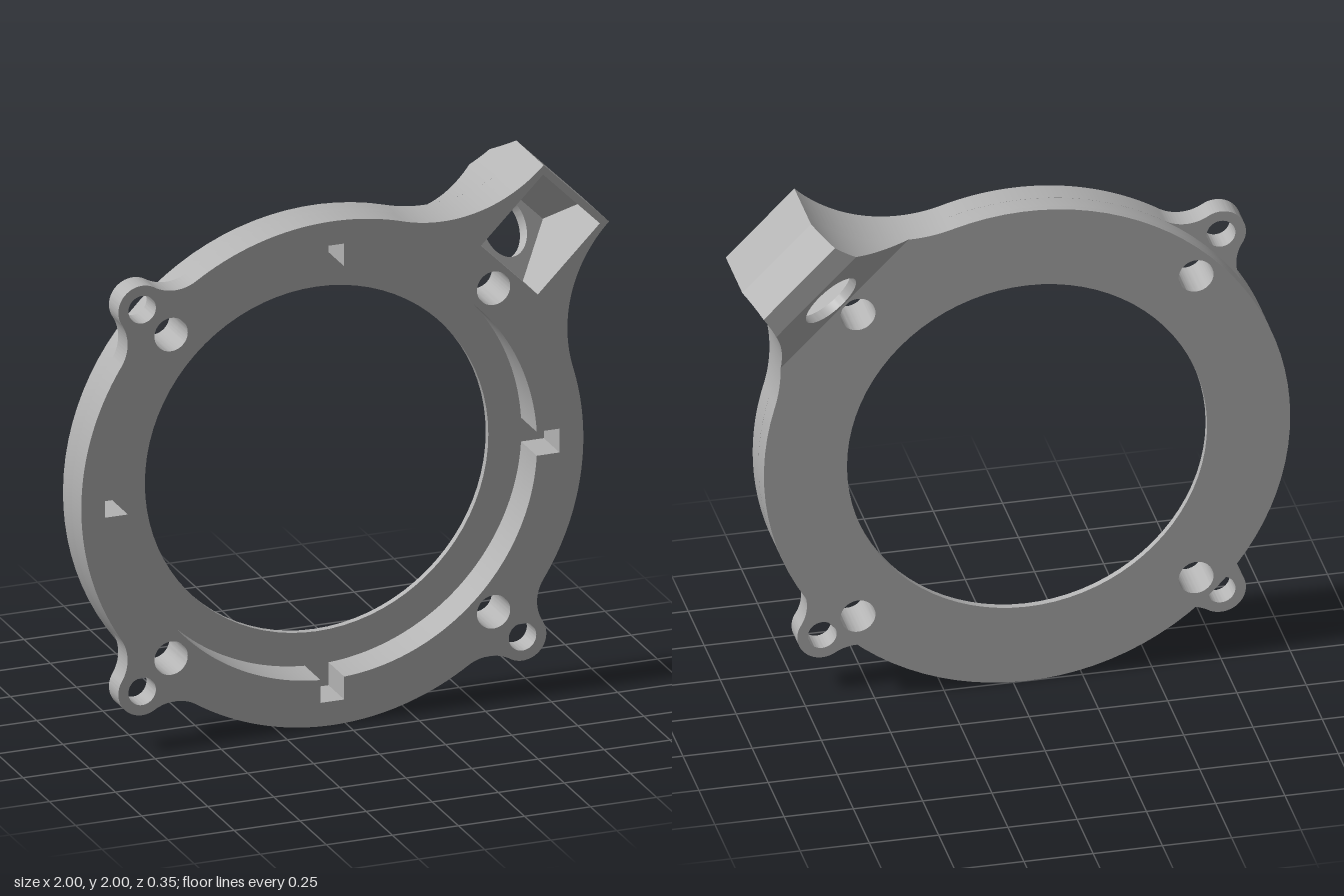
import * as THREE from 'three';
import { toCreasedNormals } from 'three/addons/utils/BufferGeometryUtils.js';

// Everything is built in a frame centred on the ring, with +x along the arm; the group is then turned 45 degrees.
const R = 0.95, BORE = 0.65, RECESS = 0.775, Q = Math.PI / 2;
const ARM_END = 1.306, ARM_HALF = 0.175, POCKET_HALF = 0.152, POCKET_IN = 0.9475, POCKET_OUT = 1.28;
const EAR_DIST = 1.018, EAR_R = 0.09, EAR_FILLET = 0.15;
const SLOPE_U = 0.932, BACK_U = 1.134, CHAMFER_U = 1.22, BACK_Z = -0.175, CHAMFER_Z = -0.085;

// Fillet circle tangent to both the ring and the arm's end corner
const ARM_FILLET = (ARM_END ** 2 + ARM_HALF ** 2 - R * R) / (2 * (R - ARM_HALF));
const ARM_ANGLE = Math.atan2(ARM_HALF + ARM_FILLET, ARM_END);
// Fillet circle tangent to both the ring and an ear
const C = R + EAR_FILLET;
const EAR_ANGLE = Math.acos((C * C + EAR_DIST ** 2 - (EAR_R + EAR_FILLET) ** 2) / (2 * C * EAR_DIST));
const EAR_TURN = Math.atan2(C * Math.sin(EAR_ANGLE), EAR_DIST - C * Math.cos(EAR_ANGLE));

function polar(r, a) {
  return [r * Math.cos(a), r * Math.sin(a)];
}

// Outer edge of the body: ring, arm and, if wanted, three ears
function outline(withEars) {
  const s = new THREE.Shape();
  const armC = R + ARM_FILLET;
  s.absarc(...polar(armC, -ARM_ANGLE), ARM_FILLET, Math.PI - ARM_ANGLE, Q, true);
  s.lineTo(ARM_END, ARM_HALF);
  s.absarc(...polar(armC, ARM_ANGLE), ARM_FILLET, -Q, ARM_ANGLE - Math.PI, true);
  let from = ARM_ANGLE;
  if (withEars) {
    for (let k = 1; k < 4; k++) {
      const t = k * Q;
      s.absarc(0, 0, R, from, t - EAR_ANGLE, false);
      s.absarc(...polar(C, t - EAR_ANGLE), EAR_FILLET, t + Math.PI - EAR_ANGLE, t + EAR_TURN, true);
      s.absarc(...polar(EAR_DIST, t), EAR_R, t + EAR_TURN - Math.PI, t + Math.PI - EAR_TURN, false);
      s.absarc(...polar(C, t + EAR_ANGLE), EAR_FILLET, t - EAR_TURN, t + EAR_ANGLE - Math.PI, true);
      from = t + EAR_ANGLE;
    }
  }
  s.absarc(0, 0, R, from, 2 * Math.PI - ARM_ANGLE, false);
  return s;
}

function circle(x, y, r) {
  return new THREE.Path().absarc(x, y, r, 0, 2 * Math.PI, false);
}

function rect(x0, x1, half) {
  return new THREE.Shape([[x0, -half], [x1, -half], [x1, half], [x0, half]].map(p => new THREE.Vector2(...p)));
}

// Round recess with four square notches
function recessPath() {
  const p = new THREE.Path();
  const half = 0.045, n = Math.asin(half / RECESS);
  for (let k = 0; k < 4; k++) {
    const t = Q / 2 + k * Q, c = Math.cos(t), s = Math.sin(t);
    p.absarc(0, 0, RECESS, t - Q + n, t - n, false);
    for (const v of [-half, half]) p.lineTo(0.86 * c - v * s, 0.86 * s + v * c);
  }
  return p;
}

function extrude(shape, depth) {
  const g = new THREE.ExtrudeGeometry(shape, { depth, bevelEnabled: false, curveSegments: 40 });
  return toCreasedNormals(g, 0.5);
}

// Back surface height of the arm at a distance u from the ring centre
function backZ(u) {
  if (u < BACK_U) return BACK_Z * (u - SLOPE_U) / (BACK_U - SLOPE_U);
  if (u < CHAMFER_U) return BACK_Z;
  return BACK_Z + (CHAMFER_Z - BACK_Z) * (u - CHAMFER_U) / (ARM_END - CHAMFER_U);
}

// Flared side wall of the arm, lofted through cross-sections along u
function armCheek(side) {
  const stations = [];
  const span = (a, b, n) => { for (let i = 0; i < n; i++) stations.push(a + (b - a) * i / n); };
  span(SLOPE_U, BACK_U, 12);
  span(BACK_U, CHAMFER_U, 4);
  span(CHAMFER_U, ARM_END, 4);
  stations.push(ARM_END);
  const sections = stations.map(u => {
    const out = ARM_HALF + ARM_FILLET - Math.sqrt(ARM_FILLET ** 2 - (ARM_END - u) ** 2);
    const z = backZ(u);
    return [[u, POCKET_HALF, z], [u, out, z], [u, out, 0], [u, POCKET_HALF, 0]].map(([x, y, w]) => [x, y * side, w]);
  });
  const pos = [];
  const quad = (a, b, c, d) => {
    const f = side > 0 ? [a, b, c, a, c, d] : [a, c, b, a, d, c];
    f.forEach(p => pos.push(...p));
  };
  for (let i = 0; i + 1 < sections.length; i++) {
    const a = sections[i], b = sections[i + 1];
    for (const [j, k] of [[0, 1], [1, 2], [3, 0]]) quad(a[j], a[k], b[k], b[j]);
  }
  quad(...sections[sections.length - 1]);
  const g = new THREE.BufferGeometry();
  g.setAttribute('position', new THREE.Float32BufferAttribute(pos, 3));
  return toCreasedNormals(g, 0.5);
}

export function createModel() {
  const model = new THREE.Group();
  model.name = 'mountingRing';
  const grey = new THREE.MeshStandardMaterial({ color: 0xb3b3b3 });
  grey.name = 'grey';
  const body = new THREE.Group();
  body.name = 'body';
  body.position.set(-0.05, 0.954, 0);
  body.rotation.z = Math.PI / 4;
  model.add(body);

  const add = (name, geometry) => {
    const m = new THREE.Mesh(geometry, grey);
    m.name = name;
    body.add(m);
    return m;
  };

  // Ring in three layers: thin lip, recessed wall, recessed wall with ears
  const layers = [
    ['backLip', 0, 0.025, false, circle(0, 0, BORE)],
    ['ringWall', 0.025, 0.085, false, recessPath()],
    ['frontWallWithEars', 0.085, 0.175, true, recessPath()],
  ];
  for (const [name, z0, z1, ears, bore] of layers) {
    const s = outline(ears);
    s.holes.push(bore, rect(POCKET_IN, POCKET_OUT, POCKET_HALF));
    for (let k = 0; k < 4; k++) {
      s.holes.push(circle(...polar(0.863, k * Q), 0.063));
      if (ears && k > 0) s.holes.push(circle(...polar(EAR_DIST, k * Q), 0.052));
    }
    add(name, extrude(s, z1 - z0)).position.z = z0;
  }

  // Arm side walls behind the ring
  add('armCheekLeft', armCheek(-1));
  add('armCheekRight', armCheek(1));

  // Sloped pocket floor with a round hole
  const run = BACK_U - SLOPE_U;
  const floor = rect(-0.02, Math.hypot(run, BACK_Z), POCKET_HALF);
  floor.holes.push(circle(0.127, 0, 0.113));
  const plate = add('pocketFloor', extrude(floor, 0.035));
  plate.position.x = SLOPE_U;
  plate.rotation.y = Math.atan2(-BACK_Z, run);

  // Chamfered end of the arm
  const end = new THREE.Shape([
    [BACK_U, BACK_Z], [CHAMFER_U, BACK_Z], [ARM_END, CHAMFER_Z], [ARM_END, 0],
    [POCKET_OUT, 0], [POCKET_OUT, -0.03], [1.157, -0.149],
  ].map(p => new THREE.Vector2(...p)));
  const endGeometry = extrude(end, 2 * POCKET_HALF);
  endGeometry.rotateX(Math.PI / 2).translate(0, POCKET_HALF, 0);
  add('armEnd', endGeometry);

  return model;
}
